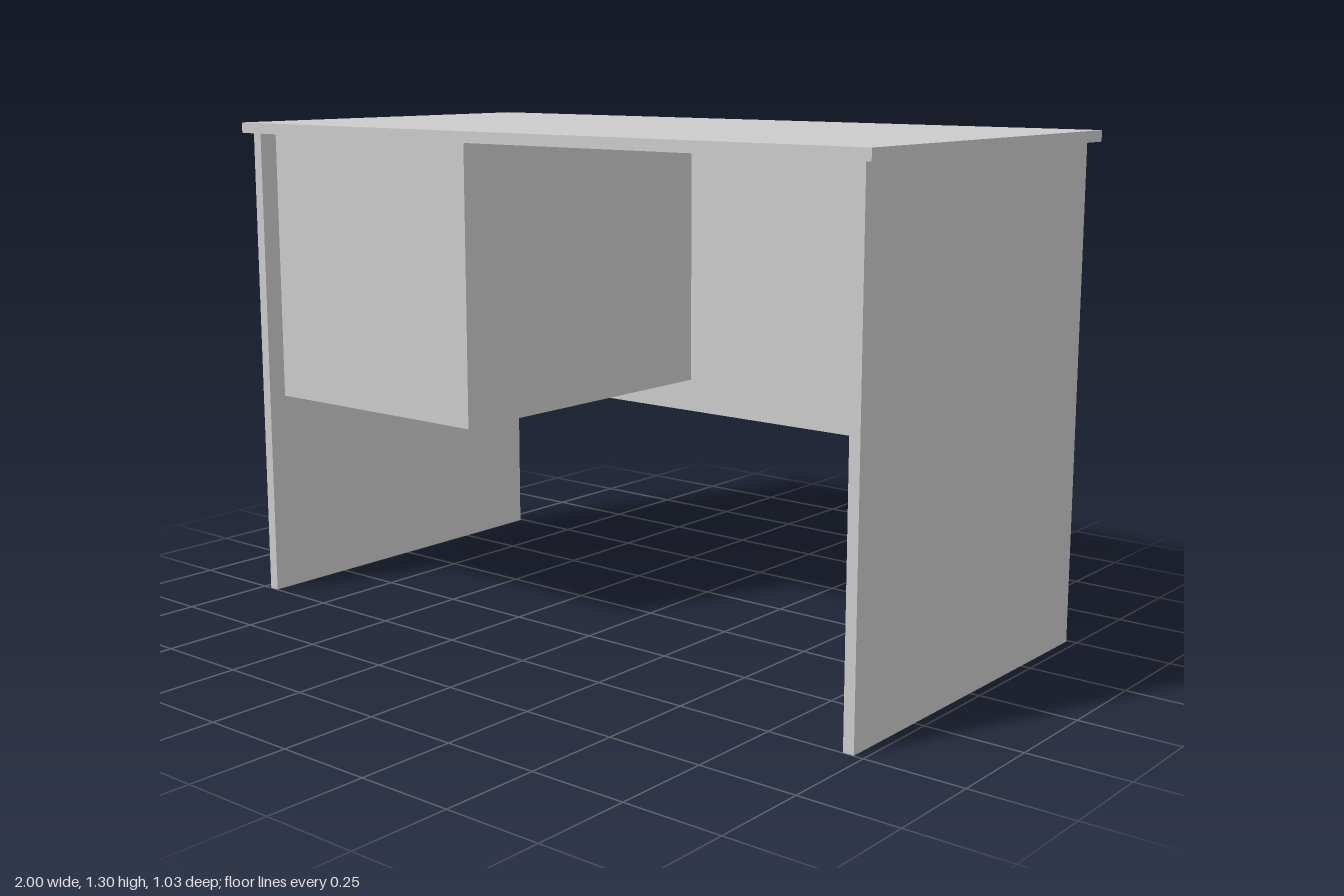
import * as THREE from 'three';

const material = new THREE.MeshStandardMaterial({ color: 0xcccccc });

// Box given by its minimum and maximum corner
function panel(name, [x0, y0, z0], [x1, y1, z1]) {
  const geometry = new THREE.BoxGeometry(x1 - x0, y1 - y0, z1 - z0);
  const mesh = new THREE.Mesh(geometry, material);
  mesh.name = name;
  mesh.position.set((x0 + x1) / 2, (y0 + y1) / 2, (z0 + z1) / 2);
  return mesh;
}

export function createModel() {
  const desk = new THREE.Group();
  desk.name = 'desk';

  const topY = 1.272, height = 1.3;      // underside and upper face of the top
  const inner = 0.947, outer = 0.975;    // side panel faces
  const back = -0.491, front = 0.498;    // side panel depth
  const thickness = outer - inner;

  // Overhanging desktop
  desk.add(panel('desktop', [-1, topY, -0.517], [1, height, 0.517]));

  // Full-height side panels
  desk.add(panel('leftSidePanel', [inner, 0, back], [outer, topY, front]));
  desk.add(panel('rightSidePanel', [-outer, 0, back], [-inner, topY, front]));

  // Modesty panel, flush with the back edges of the sides
  desk.add(panel('backPanel', [-inner, 0.455, back], [inner, topY, back + thickness]));

  // Hanging cabinet, set back from the front edge
  desk.add(panel('cabinet', [-inner, 0.547, back + thickness], [-0.229, topY, 0.447]));

  return desk;
}
